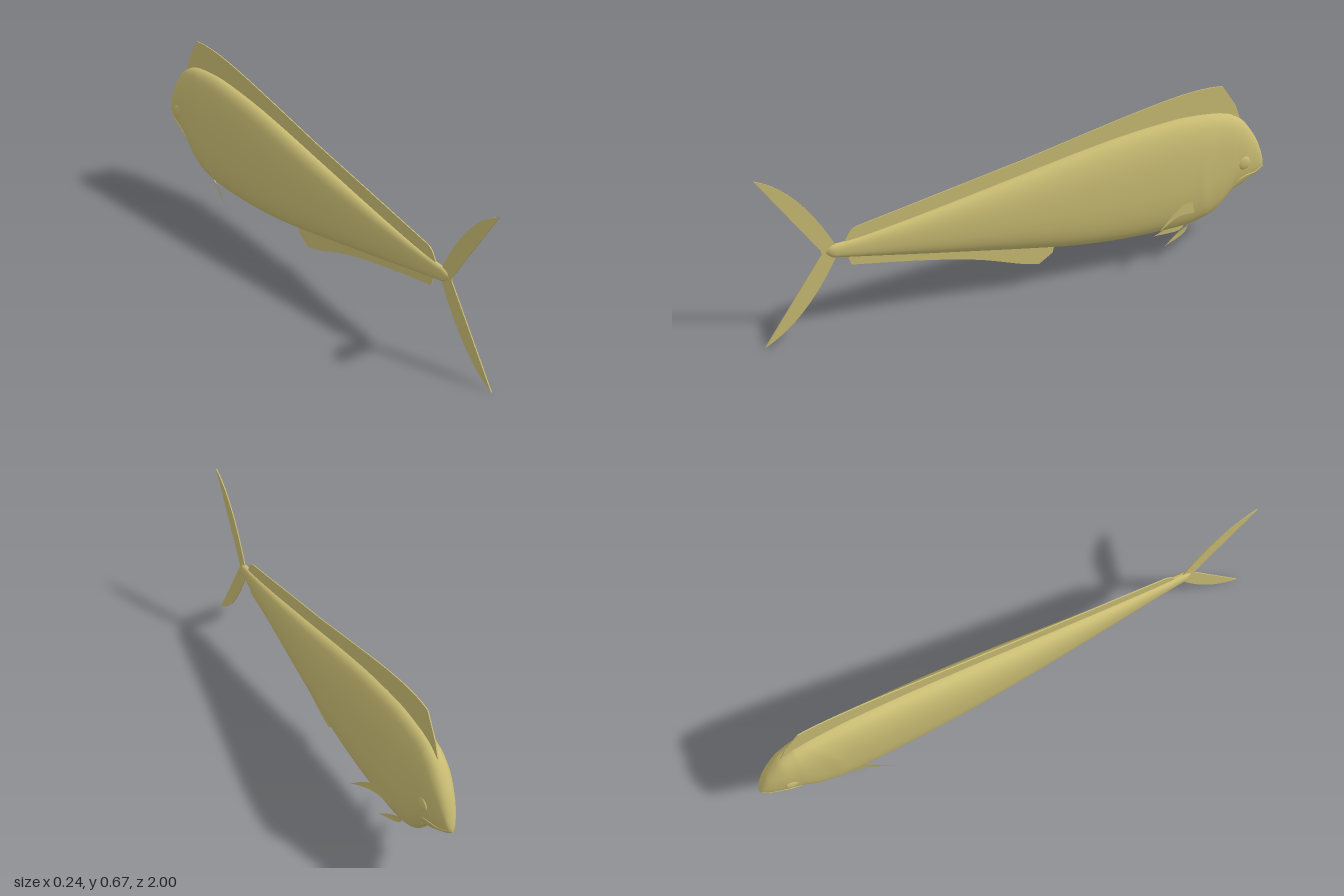
import * as THREE from 'three';

const skin = new THREE.MeshStandardMaterial({ color: 0xc8bb72 });
skin.name = 'olive gold skin';
const finSkin = new THREE.MeshStandardMaterial({ color: 0xc8bb72, side: THREE.DoubleSide });
finSkin.name = 'olive gold fin';

// Body stations, snout to tail: z, top y, bottom y, half width
const STATIONS = [
  [-1, 0.322, 0.316, 0], [-0.992, 0.355, 0.309, 0.014], [-0.975, 0.405, 0.299, 0.025],
  [-0.95, 0.455, 0.286, 0.036], [-0.9, 0.521, 0.262, 0.05], [-0.85, 0.553, 0.238, 0.057],
  [-0.825, 0.562, 0.212, 0.06], [-0.78, 0.571, 0.172, 0.063], [-0.7, 0.577, 0.144, 0.068],
  [-0.6, 0.576, 0.134, 0.07], [-0.4, 0.554, 0.134, 0.069], [-0.2, 0.52, 0.15, 0.066],
  [0, 0.48, 0.18, 0.059], [0.2, 0.44, 0.213, 0.048], [0.4, 0.401, 0.246, 0.035],
  [0.6, 0.366, 0.28, 0.021], [0.7, 0.354, 0.297, 0.016], [0.74, 0.35, 0.305, 0.013],
  [0.765, 0.33, 0.328, 0],
];
const POWER = 2.3;
const heights = new THREE.CatmullRomCurve3(
  STATIONS.map(([z, t, b]) => new THREE.Vector3(t, b, z)), false, 'catmullrom', 0.5);
const widths = new THREE.CatmullRomCurve3(
  STATIONS.map(([z, , , w]) => new THREE.Vector3(w, 0, z)), false, 'catmullrom', 0.5);

function section(u) {
  const h = heights.getPoint(u);
  return { z: h.z, mid: (h.x + h.y) / 2, half: Math.abs(h.x - h.y) / 2, w: Math.max(0, widths.getPoint(u).x) };
}

// Half width of the body skin at a given height and length
function skinX(y, z) {
  let lo = 0, hi = 1;
  for (let i = 0; i < 30; i++) {
    const m = (lo + hi) / 2;
    if (heights.getPoint(m).z < z) lo = m; else hi = m;
  }
  const s = section(lo);
  const t = Math.min(1, Math.abs((y - s.mid) / Math.max(s.half, 1e-4)));
  return s.w * Math.pow(1 - Math.pow(t, POWER), 1 / POWER);
}

// Rings of superellipses, with a soft ridge at the gill cover
function bodyGeometry(rings = 126, sides = 56) {
  const pos = [], idx = [];
  const bend = (v) => Math.sign(v) * Math.pow(Math.abs(v), 2 / POWER);
  for (let i = 0; i <= rings; i++) {
    const s = section(i / rings);
    for (let j = 0; j < sides; j++) {
      const a = (j / sides) * Math.PI * 2;
      const y = s.mid + s.half * bend(Math.sin(a));
      const gillZ = -0.7 - 1.6 * (y - 0.34) ** 2;
      const ridge = 1 + 0.03 * Math.exp(-(((s.z - gillZ) / 0.025) ** 2));
      pos.push(s.w * bend(Math.cos(a)) * ridge, y, s.z);
      if (i < rings) {
        const p = i * sides + j, q = i * sides + ((j + 1) % sides);
        idx.push(p, q, p + sides, q, q + sides, p + sides);
      }
    }
  }
  const g = new THREE.BufferGeometry();
  g.setAttribute('position', new THREE.Float32BufferAttribute(pos, 3));
  g.setIndex(idx);
  g.computeVertexNormals();
  return g;
}

// Thin upright plate on the centre line, drawn in (z, y)
function uprightFin(draw) {
  const shape = new THREE.Shape();
  draw(shape);
  const g = new THREE.ExtrudeGeometry(shape, { depth: 0.004, bevelEnabled: false, curveSegments: 16 });
  return g.translate(0, 0, -0.002).rotateY(-Math.PI / 2);
}

// Curved sheet between two edges that meet at the tip
function sheetFin(edgeA, edgeB, n = 16, m = 4) {
  const [a, b] = [edgeA, edgeB].map((e) => new THREE.CatmullRomCurve3(e.map((p) => new THREE.Vector3(...p))));
  const pos = [], idx = [];
  for (let i = 0; i <= n; i++) {
    const pa = a.getPoint(i / n), pb = b.getPoint(i / n);
    for (let j = 0; j <= m; j++) {
      pos.push(...pa.clone().lerp(pb, j / m).toArray());
      if (i < n && j < m) {
        const k = i * (m + 1) + j;
        idx.push(k, k + 1, k + m + 1, k + 1, k + m + 2, k + m + 1);
      }
    }
  }
  const g = new THREE.BufferGeometry();
  g.setAttribute('position', new THREE.Float32BufferAttribute(pos, 3));
  g.setIndex(idx);
  g.computeVertexNormals();
  return g;
}

export function createModel() {
  const fish = new THREE.Group();
  fish.name = 'fish';
  const add = (name, geometry, material = skin) => {
    const mesh = new THREE.Mesh(geometry, material);
    mesh.name = name;
    fish.add(mesh);
    return mesh;
  };

  add('body', bodyGeometry());

  // Long back fin, highest over the head
  add('dorsalFin', uprightFin((s) => {
    s.moveTo(0.7, 0.34);
    s.lineTo(0.68, 0.375);
    s.quadraticCurveTo(0.665, 0.4, 0.64, 0.405);
    s.lineTo(0, 0.535);
    s.splineThru([[-0.4, 0.625], [-0.61, 0.665], [-0.73, 0.677], [-0.805, 0.675]].map((p) => new THREE.Vector2(...p)));
    s.lineTo(-0.865, 0.59);
    s.lineTo(-0.888, 0.53);
    s.lineTo(-0.8, 0.5);
    s.lineTo(0, 0.42);
  }), finSkin);

  // Belly fin
  add('analFin', uprightFin((s) => {
    s.moveTo(0.69, 0.32);
    s.lineTo(0.67, 0.26);
    s.splineThru([[0.4, 0.217], [0.19, 0.172], [0.02, 0.118], [-0.055, 0.1]].map((p) => new THREE.Vector2(...p)));
    s.lineTo(-0.11, 0.135);
    s.lineTo(-0.125, 0.19);
    s.lineTo(0.1, 0.23);
  }), finSkin);

  // Forked tail, upper and lower lobes
  add('tailFin', uprightFin((s) => {
    s.moveTo(0.72, 0.34);
    s.bezierCurveTo(0.79, 0.48, 0.88, 0.6, 1, 0.645);
    s.lineTo(0.785, 0.345);
    s.quadraticCurveTo(0.77, 0.325, 0.785, 0.31);
    s.lineTo(1, 0.005);
    s.bezierCurveTo(0.88, 0.06, 0.79, 0.18, 0.72, 0.31);
  }), finSkin);

  // Paired parts
  for (const [side, sx] of [['left', 1], ['right', -1]]) {
    const flip = (pts) => pts.map(([x, y, z]) => [sx * x, y, z]);
    add(side + 'PectoralFin', sheetFin(
      flip([[0.06, 0.252, -0.675], [0.078, 0.261, -0.62], [0.1, 0.24, -0.56], [0.12, 0.19, -0.49]]),
      flip([[0.055, 0.205, -0.675], [0.08, 0.217, -0.6], [0.1, 0.211, -0.55], [0.12, 0.19, -0.49]])), finSkin);
    add(side + 'PelvicFin', sheetFin(
      flip([[0.022, 0.145, -0.675], [0.03, 0.12, -0.62], [0.044, 0.083, -0.56]]),
      flip([[0.011, 0.14, -0.68], [0.014, 0.108, -0.66], [0.044, 0.083, -0.56]])), finSkin);

    // Eye bulging slightly from the cheek
    const eye = add(side + 'Eye', new THREE.SphereGeometry(0.027, 24, 16));
    eye.scale.x = 0.35;
    eye.position.set(sx * (skinX(0.368, -0.885) - 0.003), 0.368, -0.885);

    // Lip line running from the snout to the corner of the jaw
    const lip = [[-0.992, 0.322], [-0.95, 0.309], [-0.9, 0.308], [-0.872, 0.296], [-0.855, 0.272], [-0.845, 0.25]]
      .map(([z, y]) => new THREE.Vector3(sx * (skinX(y, z) - 0.001), y, z));
    add(side + 'Lip', new THREE.TubeGeometry(new THREE.CatmullRomCurve3(lip), 32, 0.004, 8));
  }
  return fish;
}
